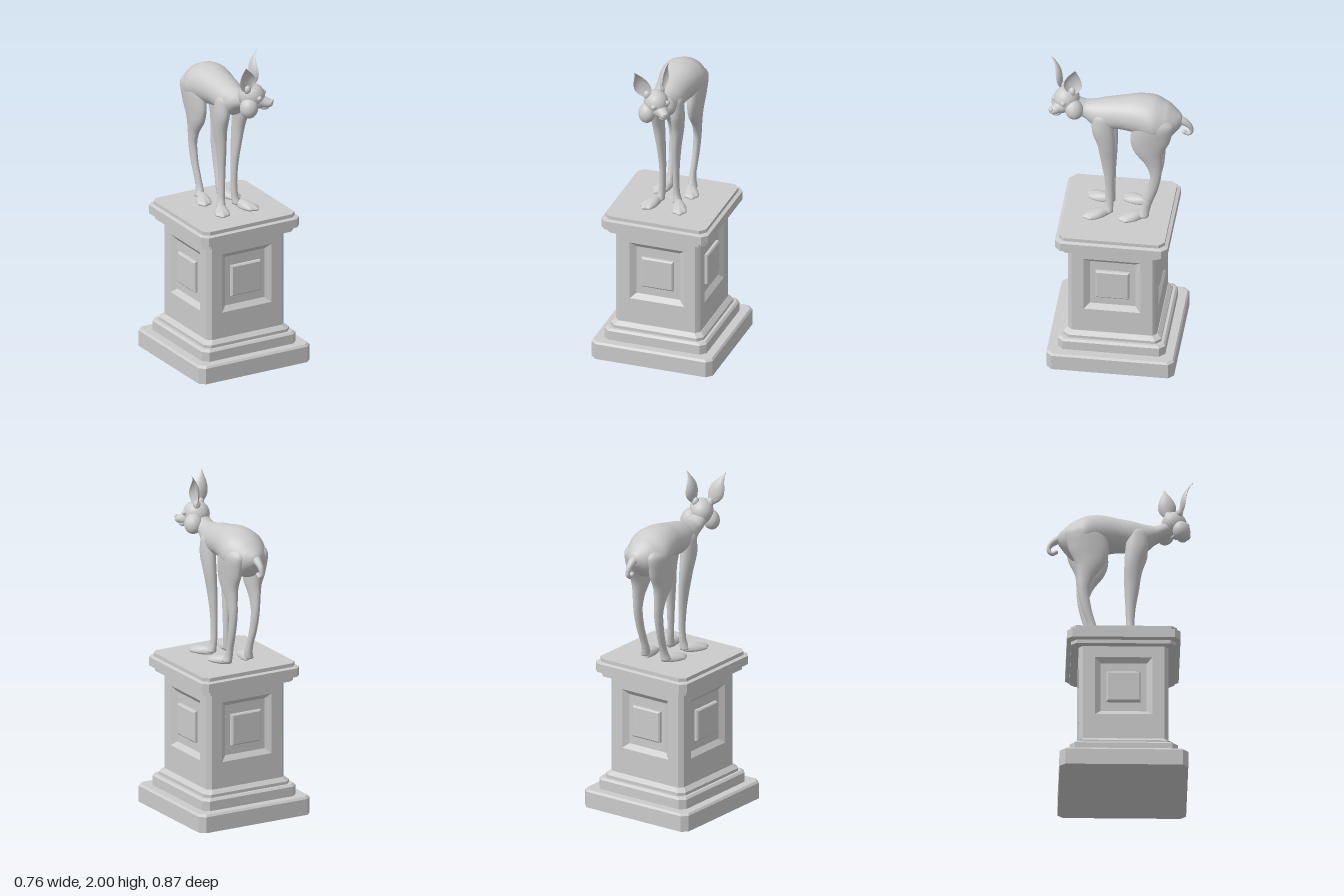
import * as THREE from 'three';
import { ParametricGeometry } from 'three/addons/geometries/ParametricGeometry.js';

const stone = new THREE.MeshStandardMaterial({ color: 0xcccccc });
const thin = new THREE.MeshStandardMaterial({ color: 0xcccccc, side: THREE.DoubleSide });
const V = (x, y, z) => new THREE.Vector3(x, y, z);

function add(parent, name, geometry, material = stone) {
  const mesh = new THREE.Mesh(geometry, material);
  mesh.name = name;
  parent.add(mesh);
  return mesh;
}

// Skin a list of equal-length rings; sharp gives flat faces
function skin(rings, { sharp = false, capStart = true } = {}) {
  const n = rings[0].length, pts = rings.flat(), index = [];
  for (let i = 0; i < rings.length - 1; i++) {
    for (let j = 0; j < n; j++) {
      const k = (j + 1) % n, a = i * n, b = a + n;
      index.push(a + j, a + k, b + k, a + j, b + k, b + j);
    }
  }
  const cap = (ring, start, flip) => {
    const c = pts.length;
    pts.push(ring.reduce((s, p) => s.add(p), V(0, 0, 0)).divideScalar(n));
    for (let j = 0; j < n; j++) {
      const k = (j + 1) % n;
      index.push(c, start + (flip ? k : j), start + (flip ? j : k));
    }
  };
  if (capStart) cap(rings[0], 0, true);
  cap(rings[rings.length - 1], (rings.length - 1) * n, false);
  let g = new THREE.BufferGeometry().setFromPoints(pts);
  g.setIndex(index);
  if (sharp) g = g.toNonIndexed();
  g.computeVertexNormals();
  return g;
}

// Smooth loft through elliptical sections [x, y, z, radiusX, radiusOther]
function loft(sections, across, steps = 40, sides = 28) {
  const path = new THREE.CatmullRomCurve3(sections.map(s => V(s[0], s[1], s[2])));
  const size = new THREE.CatmullRomCurve3(sections.map(s => V(s[3], s[4], 0)));
  const rings = [];
  for (let i = 0; i <= steps; i++) {
    const c = path.getPoint(i / steps), r = size.getPoint(i / steps);
    const ring = [];
    for (let j = 0; j < sides; j++) {
      const a = j / sides * Math.PI * 2;
      const p = c.clone();
      p.x += Math.max(r.x, 0.002) * Math.cos(a);
      p[across] += Math.max(r.y, 0.002) * Math.sin(a);
      ring.push(p);
    }
    rings.push(ring);
  }
  return skin(rings);
}

function ball(parent, name, x, y, z, rx, ry, rz) {
  const mesh = add(parent, name, new THREE.SphereGeometry(1, 28, 20));
  mesh.position.set(x, y, z);
  mesh.scale.set(rx, ry, rz);
  return mesh;
}

// Square ring with cut corners
function octagon(h, y, cut = 0.033) {
  const q = h - cut;
  return [[h, -q], [h, q], [q, h], [-q, h], [-h, q], [-h, -q], [-q, -h], [q, -h]]
    .map(([x, v]) => V(x, y, -v));
}

function makePedestal() {
  const g = new THREE.Group();
  g.name = 'pedestal';
  g.position.z = 0.007;
  const tiers = {
    plinth: [[.38, 0], [.38, .098], [.37, .11], [.32, .11], [.32, .168], [.308, .18],
      [.292, .18], [.292, .198], [.268, .22]],
    cornice: [[.268, .82], [.31, .82], [.31, .842], [.335, .85], [.335, .903], [.315, .91], [.315, .932]],
  };
  for (const [name, profile] of Object.entries(tiers))
    add(g, name, skin(profile.map(([h, y]) => octagon(h, y)), { sharp: true }));
  // Shaft side: cut corner, sunken bevelled panel, raised square
  const rects = [[.253, .22, .82, .253], [.24, .22, .82, .265], [.17, .38, .75, .265], [.135, .41, .72, .24],
    [.1, .467, .66, .24], [.1, .467, .66, .255], [.092, .475, .652, .262]];
  const side = skin(rects.map(([w, y0, y1, z]) => [V(w, y0, z), V(w, y1, z), V(-w, y1, z), V(-w, y0, z)]),
    { sharp: true, capStart: false });
  for (let i = 0; i < 4; i++) add(g, 'shaftPanel', side).rotation.y = i * Math.PI / 2;
  return g;
}

// Broad flat foot with scalloped toes
function footGeometry() {
  const g = new THREE.SphereGeometry(1, 48, 20), p = g.attributes.position;
  for (let i = 0; i < p.count; i++) {
    let x = p.getX(i), y = p.getY(i), z = p.getZ(i);
    const a = Math.atan2(x, z), front = Math.max(0, Math.cos(a));
    const toe = 1 + 0.07 * front * Math.cos(a * 7);
    const width = 0.042 + 0.016 * z;
    p.setXYZ(i, x * toe * width, y < 0 ? y * 0.018 : y * (0.034 - 0.012 * z), z * toe * 0.085);
  }
  g.computeVertexNormals();
  return g;
}

function makeHead() {
  const head = new THREE.Group();
  head.name = 'head';
  head.position.set(0.01, 1.735, 0.31);
  head.rotation.set(0, Math.PI / 4, 0.12, 'YXZ');
  ball(head, 'skull', 0, 0.005, 0, 0.072, 0.078, 0.08);
  add(head, 'muzzle', loft([[0, -.02, -.02, .055, .06], [0, -.02, .04, .052, .055], [0, -.03, .08, .034, .034],
    [0, -.035, .11, .026, .024], [0, -.035, .125, .017, .015], [0, -.035, .128, .002, .002]], 'y'));
  ball(head, 'nose', 0, -0.022, 0.122, 0.017, 0.012, 0.011);
  ball(head, 'chin', 0, -0.062, 0.075, 0.024, 0.016, 0.03);
  const ear = new ParametricGeometry((u, t, out) => {
    const w = 0.006 + 0.05 * Math.pow(Math.sin(Math.PI * Math.pow(Math.min(t + 0.06, 1), 0.8)), 1.3);
    const taper = t > 0.95 ? (1 - t) / 0.05 : 1, a = (u - 0.5) * 2.6;
    out.set(w * taper * Math.sin(a), t * 0.205, w * 0.75 * (1 - Math.cos(a)) - 0.02 * Math.sin(Math.PI * t) + 0.02 * t ** 4);
  }, 16, 28);
  for (const s of [1, -1]) {
    const cheek = ball(head, 'cheek', s * 0.066, -0.045, 0.0, 0.05, 0.062, 0.055);
    cheek.rotation.z = s * 0.3;
    ball(head, 'eye', s * 0.043, 0.012, 0.06, 0.018, 0.016, 0.016);
    ball(head, 'earRoot', s * 0.045, 0.065, -0.012, 0.022, 0.028, 0.022);
    const e = add(head, 'ear', ear, thin);
    e.position.set(s * 0.045, 0.058, -0.008);
    e.rotation.set(0, s * 0.75, -s * 0.3, 'ZYX');
  }
  return head;
}

function makeFawn() {
  const g = new THREE.Group();
  g.name = 'fawn';
  // Rump, back, chest and neck
  add(g, 'body', loft([
    [0, 1.635, -.385, .004, .004], [0, 1.635, -.37, .036, .036], [0, 1.63, -.34, .075, .07], [0, 1.625, -.29, .114, .115],
    [0, 1.645, -.21, .14, .13], [0, 1.663, -.12, .126, .119], [0, 1.662, -.02, .106, .102],
    [0, 1.65, .07, .095, .097], [0, 1.645, .14, .08, .085], [0, 1.668, .2, .06, .056],
    [0, 1.695, .26, .054, .052], [.005, 1.715, .31, .045, .045]], 'y', 66, 40));
  const foot = footGeometry();
  for (const s of [1, -1]) {
    const leg = rows => loft(rows.map(([y, x, z, a, b]) => [x * s, y, z, a, b]), 'z', 50);
    add(g, 'frontLeg', leg([[1.7, .045, .09, .02, .03], [1.65, .055, .09, .042, .062], [1.56, .063, .088, .04, .066],
      [1.45, .06, .068, .034, .053], [1.33, .05, .06, .026, .043], [1.2, .043, .053, .021, .029],
      [1.08, .042, .051, .018, .024], [1.01, .046, .053, .02, .025], [.96, .055, .062, .028, .033]]));
    add(g, 'hindLeg', leg([[1.71, .065, -.22, .03, .06], [1.64, .08, -.215, .055, .122], [1.53, .082, -.195, .046, .118],
      [1.44, .08, -.187, .038, .087], [1.35, .078, -.215, .027, .05], [1.27, .076, -.227, .023, .034],
      [1.15, .073, -.208, .02, .029], [1.05, .068, -.177, .019, .026], [1, .068, -.162, .022, .029],
      [.96, .074, -.15, .028, .036]]));
    for (const [name, x, z] of [['frontFoot', .085, .122], ['hindFoot', .085, -.09]]) {
      const f = add(g, name, foot);
      f.position.set(s * x, 0.953, z);
      f.rotation.y = s * 0.4;
    }
  }
  // Curled tail, thick at the root
  const curl = new THREE.CatmullRomCurve3([V(0, 1.64, -.35), V(0, 1.625, -.39), V(0, 1.595, -.422),
    V(0, 1.56, -.43), V(0, 1.542, -.41), V(0, 1.552, -.388)]);
  const tail = new THREE.TubeGeometry(curl, 40, 0.03, 16), p = tail.attributes.position;
  for (let i = 0; i < p.count; i++) {
    const t = Math.floor(i / 17) / 40, c = curl.getPointAt(t), v = V(0, 0, 0).fromBufferAttribute(p, i);
    v.sub(c).multiplyScalar(1 - 0.58 * Math.min(1, t * 1.6)).add(c);
    p.setXYZ(i, v.x, v.y, v.z);
  }
  tail.computeVertexNormals();
  add(g, 'tail', tail);
  ball(g, 'tailTip', 0, 1.552, -.388, .0135, .0135, .0135);
  g.add(makeHead());
  return g;
}

export function createModel() {
  const model = new THREE.Group();
  model.name = 'fawnOnPedestal';
  model.add(makePedestal(), makeFawn());
  return model;
}
